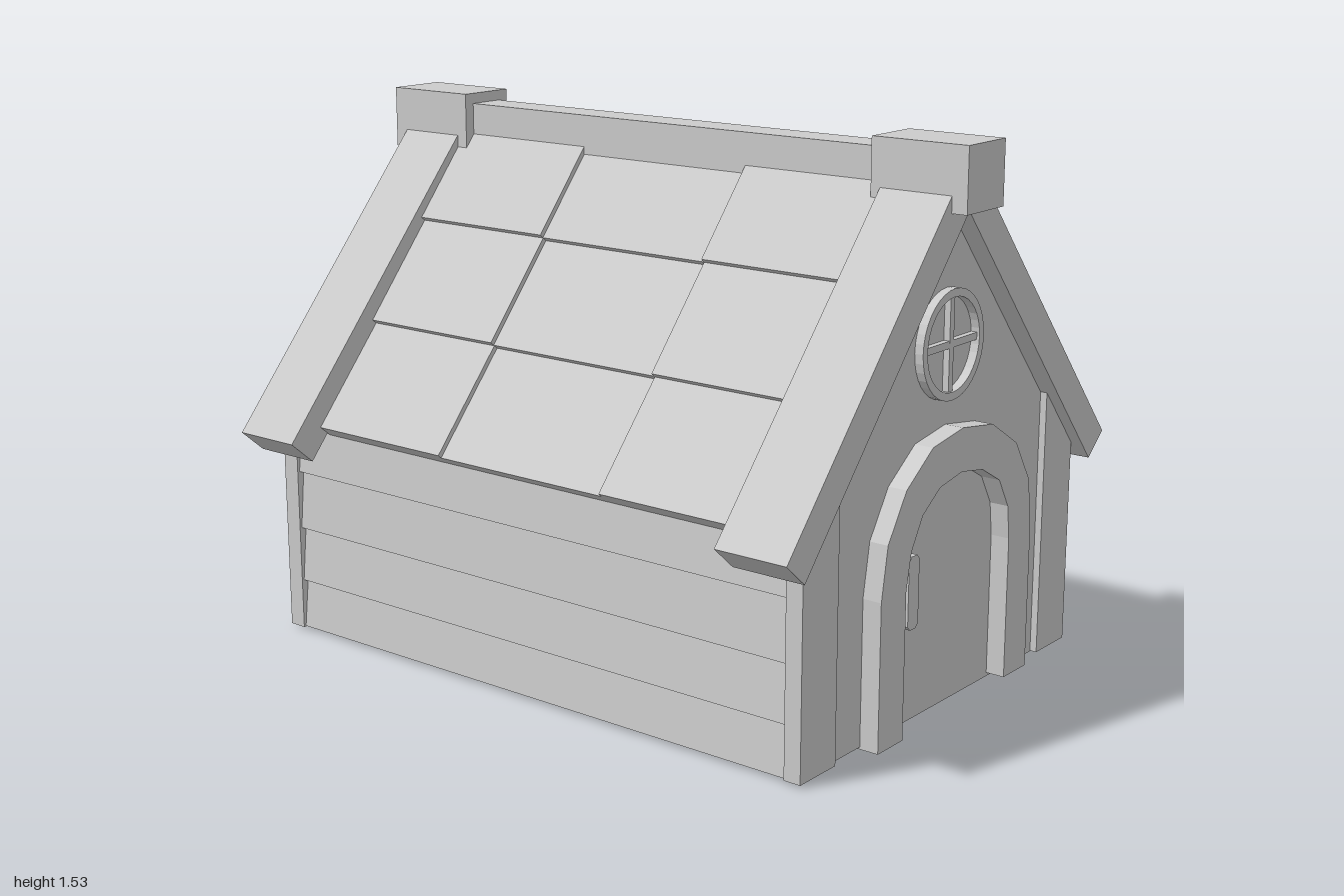
import * as THREE from 'three';

const material = new THREE.MeshStandardMaterial({ color: 0xcccccc, flatShading: true });

export function createModel() {
  const house = new THREE.Group();
  house.name = 'house';

  const add = (name, geometry) => {
    const mesh = new THREE.Mesh(geometry, material);
    mesh.name = name;
    house.add(mesh);
    return mesh;
  };
  const toShape = (points) => new THREE.Shape(points.map(([x, y]) => new THREE.Vector2(x, y)));
  const mirrored = (points, side) => points.map(([x, y]) => [x * side, y]);

  // An x-y outline extruded from z0 to z1
  const prism = (name, shape, z0, z1, curveSegments = 12) => {
    const geometry = new THREE.ExtrudeGeometry(shape, { depth: z1 - z0, bevelEnabled: false, curveSegments });
    geometry.translate(0, 0, z0);
    return add(name, geometry);
  };
  const box = (name, x0, x1, y0, y1, z0, z1) => {
    const geometry = new THREE.BoxGeometry(x1 - x0, y1 - y0, z1 - z0);
    geometry.translate((x0 + x1) / 2, (y0 + y1) / 2, (z0 + z1) / 2);
    return add(name, geometry);
  };

  // Gable walls; the house is hollow and open below
  const gable = [[-0.63, 0.008], [0.63, 0.008], [0.63, 0.63], [0, 1.355], [-0.63, 0.63]];
  prism('frontWall', toShape(gable), 0.88, 0.9);
  prism('backWall', toShape(gable), -0.9, -0.88);

  const plankEdges = [0.012, 0.155, 0.315, 0.485, 0.625];
  const post = [[0.505, 0.01], [0.657, 0.01], [0.657, 0.6], [0.505, 0.774]];
  const rake = [[0.7, 0.55], [0.775, 0.615], [0, 1.503], [0, 1.355]];
  const deck = [[0.64, 0.619], [0.648, 0.626], [0, 1.37], [0, 1.355]];
  // Upper surface of each shingle row: upper end, then lower end
  const rows = [
    [[0.05, 1.42], [0.245, 1.188]],
    [[0.2, 1.235], [0.455, 0.917]],
    [[0.41, 0.96], [0.671, 0.642]],
  ];
  const columns = [[-0.75, -0.282], [-0.282, 0.288], [0.288, 0.75]];

  for (const side of [1, -1]) {
    const label = side > 0 ? 'left' : 'right';

    // Overlapping siding, each plank leaning out at its lower edge
    for (let i = 0; i < 4; i++) {
      const y0 = plankEdges[i], y1 = plankEdges[i + 1];
      const plank = [[0.618, y0], [0.65, y0], [0.634, y1], [0.618, y1]];
      prism(label + 'SidePlank', toShape(mirrored(plank, side)), -0.88, 0.88);
    }

    // Corner boards and sloping gable boards
    const postShape = toShape(mirrored(post, side));
    prism(label + 'FrontCornerBoard', postShape, 0.87, 0.92);
    prism(label + 'BackCornerBoard', postShape, -0.92, -0.867);
    const rakeShape = toShape(mirrored(rake, side));
    prism(label + 'FrontGableBoard', rakeShape, 0.74, 0.955);
    prism(label + 'BackGableBoard', rakeShape, -0.957, -0.747).position.x = -0.006;

    // Roof lining and three by three shingles, the middle column set lower
    prism(label + 'RoofLining', toShape(mirrored(deck, side)), -0.88, 0.88);
    rows.forEach(([top, bottom], r) => columns.forEach(([z0, z1], c) => {
      const drop = c === 1 ? 0.014 : 0;
      const thickness = r === 2 ? 0.046 : 0.038;
      const dx = bottom[0] - top[0], dy = bottom[1] - top[1];
      const length = Math.hypot(dx, dy);
      const nx = -dy / length, ny = dx / length;
      const offset = ([x, y], d) => [x - nx * d, y - ny * d];
      // Tuck the upper end beneath the row above
      const tuck = r === 0 ? 0 : 0.012;
      const outline = [
        offset(top, drop + tuck), offset(bottom, drop),
        offset(bottom, drop + thickness), offset(top, drop + thickness),
      ];
      prism(label + 'Shingle', toShape(mirrored(outline, side)), z0, z1);
    }));
  }

  // Ridge beam and its end blocks
  box('ridgeBeam', -0.054, 0.056, 1.36, 1.505, -0.72, 0.72);
  box('frontRidgeBlock', -0.086, 0.09, 1.36, 1.535, 0.712, 1);
  box('backRidgeBlock', -0.086, 0.09, 1.36, 1.535, -1, -0.712);

  // Arched door frame, slightly uneven, passing through the front wall
  const arch = [
    [-0.365, 0.002], [-0.365, 0.41], [-0.34, 0.555], [-0.26, 0.68], [-0.14, 0.765], [0.005, 0.787],
    [0.155, 0.765], [0.285, 0.685], [0.36, 0.565], [0.378, 0.42], [0.378, 0.018],
    [0.262, 0.018], [0.262, 0.42], [0.25, 0.515], [0.2, 0.6], [0.11, 0.65], [0.005, 0.668],
    [-0.1, 0.65], [-0.18, 0.595], [-0.23, 0.51], [-0.25, 0.41], [-0.25, 0.002],
  ];
  prism('doorFrame', toShape(arch), 0.84, 0.955);

  // Door handle with clipped corners
  const handle = [
    [-0.2, 0.285], [-0.175, 0.285], [-0.163, 0.297], [-0.163, 0.473],
    [-0.175, 0.485], [-0.2, 0.485], [-0.212, 0.473], [-0.212, 0.297],
  ];
  prism('doorHandle', toShape(handle), 0.85, 0.938);

  // Round window: ring and cross bars
  const cx = -0.005, cy = 1.005;
  const ring = new THREE.Shape().absarc(cx, cy, 0.148, 0, Math.PI * 2, false);
  ring.holes.push(new THREE.Path().absarc(cx, cy, 0.126, 0, Math.PI * 2, true));
  prism('windowRing', ring, 0.89, 0.925, 18);
  box('windowUpright', cx - 0.01, cx + 0.01, cy - 0.128, cy + 0.128, 0.89, 0.918);
  box('windowCrossbar', cx - 0.128, cx + 0.128, cy - 0.01, cy + 0.01, 0.89, 0.917);

  return house;
}
